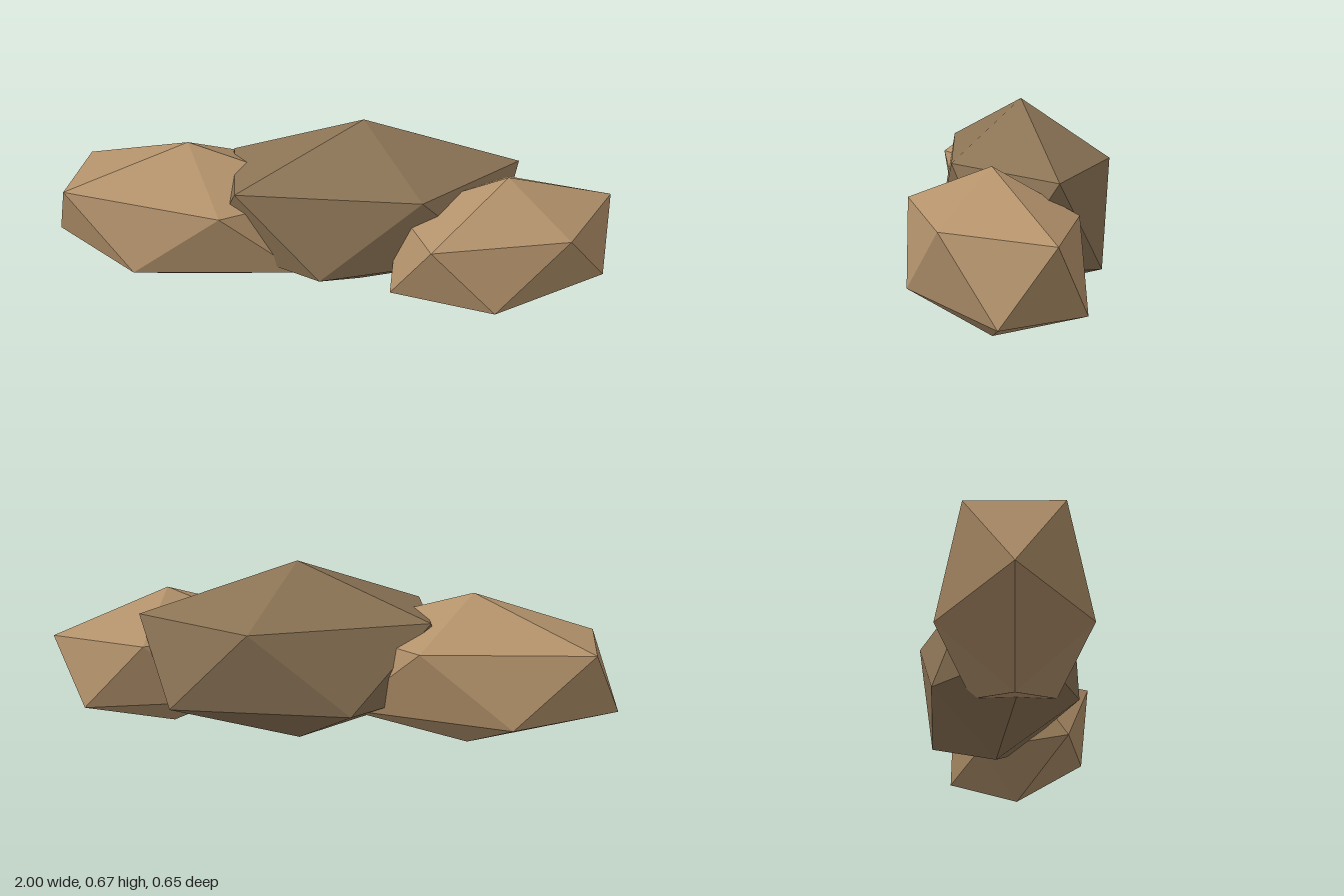
import * as THREE from 'three';
import { ConvexGeometry } from 'three/addons/geometries/ConvexGeometry.js';

// Twenty-sided stone of unit radius, standing on one of its points
function stoneGeometry() {
  const h = 1 / Math.sqrt(5), r = 2 / Math.sqrt(5);
  const points = [new THREE.Vector3(0, 1, 0), new THREE.Vector3(0, -1, 0)];
  for (let i = 0; i < 5; i++) {
    const a = (i * Math.PI * 2) / 5;
    points.push(new THREE.Vector3(r * Math.cos(a), h, r * Math.sin(a)));   // upper ring
    points.push(new THREE.Vector3(-r * Math.cos(a), -h, -r * Math.sin(a))); // lower ring
  }
  return new ConvexGeometry(points);
}

export function createModel() {
  const group = new THREE.Group();
  group.name = 'rockCluster';

  const makeMaterial = (name, color) => {
    const m = new THREE.MeshStandardMaterial({ color, flatShading: true });
    m.name = name;
    return m;
  };
  const darkStone = makeMaterial('darkStone', 0x8b7355);
  const lightStone = makeMaterial('lightStone', 0xb3926b);

  const geometry = stoneGeometry();

  // Each rock rests on y = 0, stretched along its length and turned about y
  const addRock = (name, material, x, z, [rx, ry, rz], turn) => {
    const rock = new THREE.Mesh(geometry, material);
    rock.name = name;
    rock.position.set(x, ry, z);
    rock.scale.set(rx, ry, rz);
    rock.rotation.y = turn;
    group.add(rock);
  };

  addRock('middleRock', darkStone, 0.128, -0.027, [0.62, 0.333, 0.31], 0.225);
  addRock('rightRock', lightStone, -0.48, 0.038, [0.581, 0.281, 0.281], 0);
  addRock('leftRock', lightStone, 0.63, 0.049, [0.465, 0.263, 0.266], 0.48);

  return group;
}
